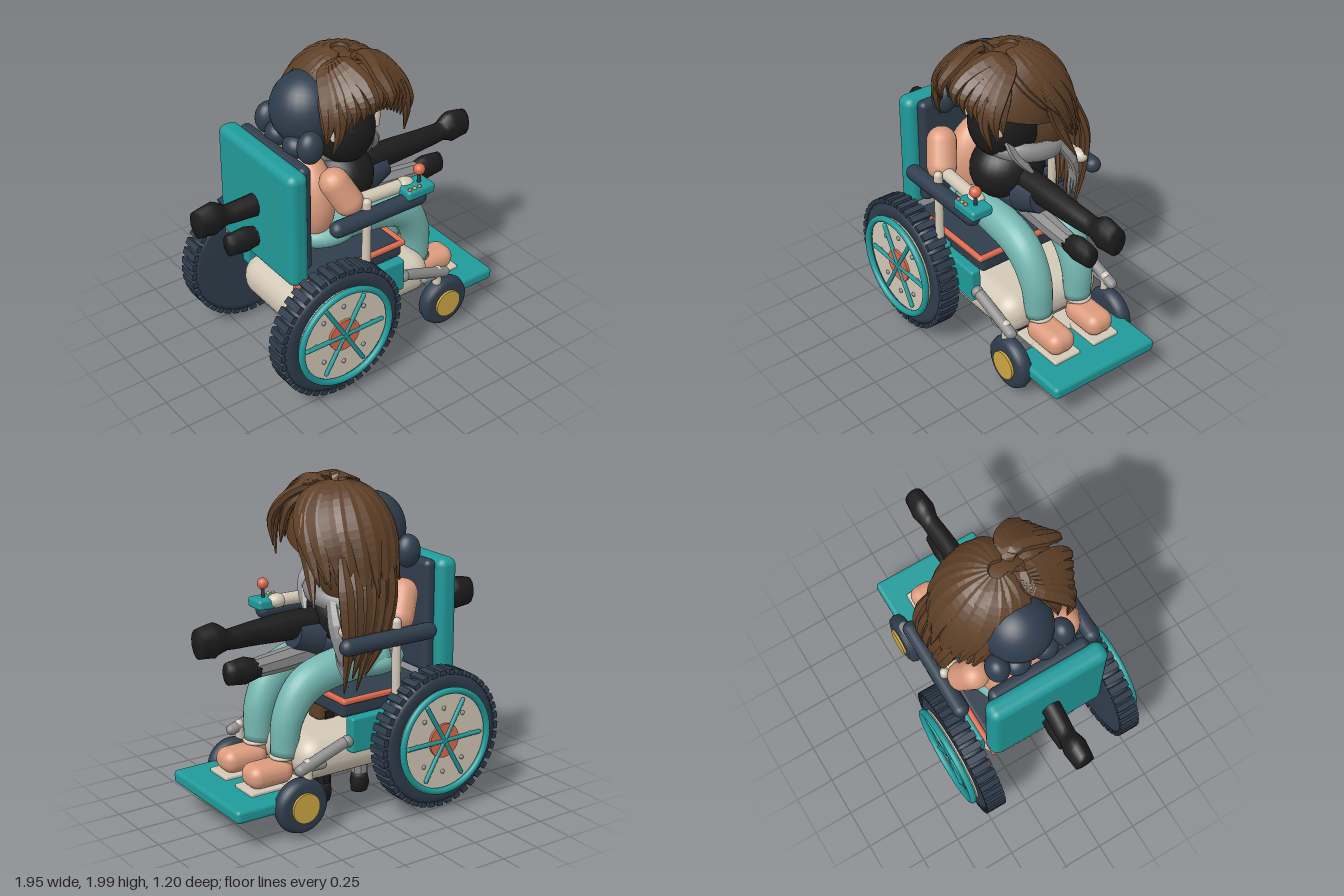
import * as THREE from 'three';
import { RoundedBoxGeometry } from 'three/addons/geometries/RoundedBoxGeometry.js';

const mat = (name, color) => Object.assign(new THREE.MeshStandardMaterial({ color }), { name });
const V = (a) => new THREE.Vector3(...a);

// Closed sweep along a curve; sizes are [half width, half thickness] stations, hint gives the thickness direction
function sweep(points, sizes, hint, sides = 12, steps = 16) {
  const curve = new THREE.CatmullRomCurve3(points.map(V));
  const pos = [], idx = [], n = sizes.length - 1;
  for (let i = -1; i <= steps + 1; i++) {
    const t = Math.min(1, Math.max(0, i / steps));
    const p = curve.getPoint(t), T = curve.getTangent(t);
    const N = hint(p).clone().addScaledVector(T, -hint(p).dot(T)).normalize();
    const B = N.clone().cross(T);
    const k = Math.min(n - 1, Math.floor(t * n)), f = t * n - k;
    const cap = i < 0 || i > steps ? 0.001 : 1;
    const w = THREE.MathUtils.lerp(sizes[k][0], sizes[k + 1][0], f) * cap;
    const h = THREE.MathUtils.lerp(sizes[k][1], sizes[k + 1][1], f) * cap;
    for (let j = 0; j < sides; j++) {
      const a = ((j + 0.5) / sides) * Math.PI * 2;
      const q = p.clone().addScaledVector(B, w * Math.cos(a)).addScaledVector(N, h * Math.sin(a));
      pos.push(q.x, q.y, q.z);
    }
  }
  for (let i = 0; i < steps + 2; i++) for (let j = 0; j < sides; j++) {
    const a = i * sides + j, b = i * sides + (j + 1) % sides;
    idx.push(a, b, b + sides, a, b + sides, a + sides);
  }
  const g = new THREE.BufferGeometry();
  g.setAttribute('position', new THREE.Float32BufferAttribute(pos, 3));
  g.setIndex(idx);
  g.computeVertexNormals();
  return g;
}
const faceted = (g) => { const f = g.toNonIndexed(); f.computeVertexNormals(); return f; };

export function createModel() {
  const teal = mat('teal', 0x209a9a), navy = mat('navy', 0x2f3d4c), beige = mat('beige', 0xd2c8b6),
    coral = mat('coral', 0xdb6a4e), brown = mat('brown', 0x5e4028), black = mat('black', 0x1c1c1d),
    grey = mat('grey', 0x8b8b8c), mint = mat('mint', 0x74b6af), skin = mat('skin', 0xdb9b7d), gold = mat('gold', 0xcfa844);
  const root = new THREE.Group();
  const section = (name) => { const g = new THREE.Group(); g.name = name; root.add(g); return g; };
  const add = (g, name, geo, m, p = [0, 0, 0], r = [0, 0, 0]) => {
    const o = new THREE.Mesh(geo, m);
    o.name = name; o.position.set(...p); o.rotation.set(...r); g.add(o);
    return o;
  };
  // Rounded box from its minimum and maximum corners
  const box = (g, name, m, a, b, r = 0.015) => add(g, name,
    new RoundedBoxGeometry(b[0] - a[0], b[1] - a[1], b[2] - a[2], 4, r), m, a.map((v, i) => (v + b[i]) / 2));
  const ball = (g, name, m, p, r) => {
    const o = add(g, name, new THREE.SphereGeometry(1, 28, 20), m, p);
    o.scale.set(...(Array.isArray(r) ? r : [r, r, r])); return o;
  };
  const rod = (g, name, m, a, b, r) => {
    const d = V(b).sub(V(a)), o = add(g, name, new THREE.CapsuleGeometry(r, d.length(), 6, 16), m);
    o.position.copy(V(a).addScaledVector(d, 0.5));
    o.quaternion.setFromUnitVectors(new THREE.Vector3(0, 1, 0), d.normalize());
    return o;
  };
  const disc = (g, name, m, r, depth, z) => add(g, name, new THREE.CylinderGeometry(r, r, depth, 48), m, [0, 0, z], [Math.PI / 2, 0, 0]);
  const side = () => new THREE.Vector3(0, 0, 1);

  // Chair frame, seat and backrest
  const chair = section('chair');
  box(chair, 'backrest', teal, [-0.59, 0.76, -0.38], [-0.46, 1.5, 0.38], 0.05);
  box(chair, 'backPad', navy, [-0.48, 0.8, -0.32], [-0.4, 1.49, 0.32], 0.035);
  box(chair, 'seatTrimFront', coral, [0.195, 0.738, -0.375], [0.23, 0.775, 0.375]);
  box(chair, 'seatCushion', navy, [-0.45, 0.65, -0.355], [0.222, 0.76, 0.355], 0.03);
  box(chair, 'baseBody', beige, [-0.5, 0.285, -0.36], [0.475, 0.55, 0.36], 0.125);
  box(chair, 'footplate', teal, [0.54, 0.18, -0.375], [0.945, 0.26, 0.375], 0.025);
  box(chair, 'footBracket', beige, [0.4, 0.25, -0.24], [0.56, 0.275, 0.24], 0.01);
  for (const s of [1, -1]) {
    box(chair, 'seatTrimSide', coral, [-0.57, 0.738, s * 0.36 - 0.017], [0.23, 0.775, s * 0.36 + 0.017]);
    box(chair, 'sideBox', teal, [-0.43, 0.45, s * 0.38 - 0.035], [0.195, 0.665, s * 0.38 + 0.035]);
    rod(chair, 'sideRail', teal, [-0.42, 0.69, s * 0.38], [-0.1, 0.69, s * 0.38], 0.025);
    rod(chair, 'armrest', navy, [-0.32, 1.115, s * 0.445], [0.25, 1.115, s * 0.445], 0.05);
    rod(chair, 'armrestPost', beige, [-0.105, 0.68, s * 0.425], [-0.105, 1.2, s * 0.425], 0.027);
    rod(chair, 'casterArm', grey, [0.24, 0.52, s * 0.385], [0.53, 0.42, s * 0.385], 0.034);
    rod(chair, 'casterLink', grey, [0.38, 0.42, s * 0.38], [0.54, 0.42, s * 0.38], 0.026);
    rod(chair, 'casterFork', beige, [0.48, 0.3, s * 0.38], [0.48, 0.45, s * 0.38], 0.028);
    ball(chair, 'armJoint', grey, [0.21, 0.525, s * 0.385], 0.037);
    box(chair, 'footPad', beige, [0.54, 0.25, s * 0.145 - 0.095], [0.77, 0.28, s * 0.145 + 0.095], 0.01);
  }
  box(chair, 'controlBox', teal, [0.14, 1.14, 0.355], [0.335, 1.205, 0.5], 0.02);
  rod(chair, 'joystick', navy, [0.265, 1.2, 0.43], [0.265, 1.27, 0.43], 0.012);
  ball(chair, 'joystickKnob', coral, [0.265, 1.29, 0.43], 0.035);
  for (let i = 0; i < 3; i++) ball(chair, 'button', i % 2 ? gold : coral, [0.165 + i * 0.035, 1.205, 0.475], 0.012);

  // Wheels, outer face towards their own +z
  for (const s of [1, -1]) {
    const w = section('driveWheel');
    w.position.set(-0.36, 0.46, s * 0.48);
    w.rotation.y = s > 0 ? 0 : Math.PI;
    const tyre = [[0.0, -0.06], [0.37, -0.06], [0.405, -0.05], [0.415, 0], [0.405, 0.05], [0.37, 0.065], [0.31, 0.065], [0.3, 0.03], [0, 0.03]];
    add(w, 'tyre', new THREE.LatheGeometry(tyre.map((p) => new THREE.Vector2(...p)), 64), navy, [0, 0, 0], [Math.PI / 2, 0, 0]);
    for (let i = 0; i < 40; i++) {
      const a = (i / 40) * Math.PI * 2;
      add(w, 'tread', new THREE.BoxGeometry(0.03, 0.042, 0.128), navy, [Math.cos(a) * 0.412, Math.sin(a) * 0.412, 0], [0, 0, a]);
    }
    disc(w, 'wheelDisc', beige, 0.31, 0.05, 0.05);
    add(w, 'pushRim', new THREE.TorusGeometry(0.312, 0.02, 12, 64), teal, [0, 0, 0.1]);
    disc(w, 'hub', coral, 0.105, 0.02, 0.08);
    for (let i = 0; i < 3; i++) {
      const a = i * Math.PI / 3, x = Math.cos(a) * 0.265, y = Math.sin(a) * 0.265;
      rod(w, 'spoke', teal, [-x, -y, 0.088], [x, y, 0.088], 0.013);
    }
    for (let i = 0; i < 8; i++) ball(w, 'bolt', grey, [Math.cos(i * Math.PI / 4) * 0.2, Math.sin(i * Math.PI / 4) * 0.2, 0.075], 0.014);

    const c = section('casterWheel');
    c.position.set(0.53, 0.205, s * 0.38);
    c.rotation.y = s > 0 ? 0 : Math.PI;
    const cp = [[0, -0.05], [0.13, -0.05], [0.158, -0.035], [0.169, 0], [0.158, 0.035], [0.13, 0.05], [0, 0.05]];
    add(c, 'casterTyre', new THREE.LatheGeometry(cp.map((p) => new THREE.Vector2(...p)), 40), navy, [0, 0, 0], [Math.PI / 2, 0, 0]);
    disc(c, 'casterHub', gold, 0.09, 0.02, 0.055);
  }

  // Seated rider facing +x
  const rider = section('rider');
  ball(rider, 'torso', skin, [-0.25, 1.1, 0], [0.155, 0.3, 0.25]);
  ball(rider, 'hips', mint, [-0.16, 0.88, 0], [0.25, 0.115, 0.27]);
  ball(rider, 'head', navy, [-0.215, 1.655, -0.01], [0.212, 0.225, 0.21]);
  for (const s of [1, -1]) {
    ball(rider, 'hairBun', navy, [-0.34, 1.54, s * 0.21], [0.08, 0.1, 0.07]);
    ball(rider, 'napeHair', navy, [-0.36, 1.5, s * 0.09], [0.07, 0.07, 0.08]);
    rod(rider, 'upperArm', skin, [-0.24, 1.32, s * 0.3], [-0.18, 1.2, s * 0.345], 0.09);
    rod(rider, 'forearm', beige, [-0.1, 1.185, s * 0.36], [0.15, 1.185, s * 0.375], 0.04);
    ball(rider, 'hand', beige, [0.2, 1.185, s * 0.38], [0.06, 0.045, 0.05]);
    add(rider, 'trouserLeg', sweep([[-0.2, 0.9, s * 0.15], [0.08, 0.905, s * 0.155], [0.35, 0.83, s * 0.157], [0.465, 0.66, s * 0.152], [0.495, 0.43, s * 0.147]],
      [[0.105, 0.1], [0.115, 0.103], [0.113, 0.103], [0.095, 0.096], [0.077, 0.082]], side, 24, 24), mint);
    rod(rider, 'ankle', skin, [0.5, 0.36, s * 0.145], [0.5, 0.43, s * 0.145], 0.065);
    add(rider, 'cuff', new THREE.TorusGeometry(0.068, 0.014, 10, 24), beige, [0.5, 0.428, s * 0.147], [Math.PI / 2, 0, 0]);
    box(rider, 'foot', skin, [0.46, 0.272, s * 0.145 - 0.092], [0.752, 0.415, s * 0.145 + 0.092], 0.066);
  }

  // Standing figure facing +z with outstretched arms
  const figure = section('figure');
  ball(figure, 'face', black, [0, 1.5, 0.01], [0.2, 0.25, 0.24]);
  ball(figure, 'chest', black, [0, 1.17, 0], [0.2, 0.2, 0.24]);
  ball(figure, 'waist', navy, [0.02, 1.02, 0], [0.24, 0.11, 0.13]);
  for (const s of [1, -1]) {
    add(figure, 'arm', sweep([[s * 0.15, 1.15, 0], [s * 0.4, 1.15, 0], [s * 0.6, 1.148, 0], [s * 0.78, 1.145, -0.01], [s * 0.86, 1.155, -0.01], [s * 0.97, 1.15, -0.01]],
      [[0.09, 0.075], [0.085, 0.07], [0.073, 0.06], [0.06, 0.055], [0.105, 0.072], [0.088, 0.06]], side, 12, 20), black);
    add(figure, 'jacketSide', new THREE.CylinderGeometry(0.09, 0.12, 0.16, 16), navy, [s * 0.25, 1.08, 0], [0, 0, -s * (Math.PI / 2 - 0.25)]);
    add(figure, 'lowerSleeve', faceted(sweep([[s * 0.1, 0.98, 0], [s * 0.4, 0.95, 0], [s * 0.6, 0.935, 0]],
      [[0.08, 0.06], [0.07, 0.06], [0.06, 0.05]], side, 8, 6)), grey);
    add(figure, 'lowerHand', sweep([[s * 0.57, 0.93, 0], [s * 0.66, 0.935, 0], [s * 0.775, 0.935, 0]],
      [[0.055, 0.05], [0.083, 0.058], [0.068, 0.05]], side, 12, 6), black);
    box(figure, 'shorts', brown, [s * 0.105 - 0.095, 0.54, -0.075], [s * 0.105 + 0.095, 0.68, 0.055], 0.03);
    add(figure, 'legging', faceted(sweep([[s * 0.12, 0.6, -0.01], [s * 0.13, 0.35, -0.01], [s * 0.14, 0.08, -0.02]],
      [[0.08, 0.075], [0.068, 0.065], [0.05, 0.047]], side, 8, 6)), s > 0 ? black : grey);
    add(figure, 'boot', sweep([[s * 0.135, 0.13, -0.02], [s * 0.14, 0.06, -0.015], [s * 0.14, 0.005, -0.01]],
      [[0.05, 0.05], [0.062, 0.06], [0.055, 0.045]], side, 12, 6), black);
    rod(figure, 'eyeFrame', beige, [s * 0.148, 1.51, 0.17], [s * 0.148, 1.6, 0.18], 0.021);
    rod(figure, 'browFrame', beige, [s * 0.115, 1.645, 0.2], [s * 0.19, 1.64, 0.17], 0.024);
  }
  // Grey shin guard on the front of the dark leg
  add(figure, 'shinGuard', new RoundedBoxGeometry(0.09, 0.26, 0.009, 2, 0.004), grey, [0.135, 0.225, 0.045], [0.07, 0, 0]);

  // Scarf with hanging tails
  const scarf = add(figure, 'scarf', new THREE.TorusGeometry(0.2, 0.055, 8, 32), grey, [0.03, 1.33, -0.09], [Math.PI / 2 - 0.15, 0, 0]);
  scarf.scale.set(0.92, 1.05, 1.1);
  const tail = (pts) => add(figure, 'scarfTail', faceted(sweep(pts,
    [[0.03, 0.015], [0.045, 0.02], [0.035, 0.015], [0.004, 0.004]], () => new THREE.Vector3(0.8, 0, -0.6), 6, 10)), grey);
  for (let i = 0; i < 3; i++) tail([[0.14 + i * 0.03, 1.36, -0.2], [0.2 + i * 0.02, 1.18, -0.31], [0.2, 0.98, -0.31 - i * 0.02], [0.17, 0.83 + i * 0.06, -0.33]]);
  tail([[0.13, 1.46, 0.12], [0.18, 1.38, 0.1], [0.22, 1.3, 0.05], [0.25, 1.2, -0.02]]);

  // Hair: scalp cap tilted backwards, then overlapping strands
  const hair = section('hair');
  const centre = new THREE.Vector3(0.01, 1.6, 0);
  const out = (p) => p.clone().sub(centre).setY(Math.max(0, p.y - centre.y));
  const lock = (name, pts, w, th = 0.028) => add(hair, name,
    faceted(sweep(pts, [[w * 0.45, th * 0.6], [w, th], [w * 0.95, th], [w * 0.6, th * 0.8], [0.004, 0.004]], out, 6, 16)), brown);
  const cap = add(hair, 'scalp', new THREE.SphereGeometry(1, 32, 16, 0, Math.PI * 2, 0, Math.PI * 0.53), brown, [0.01, 1.62, 0.01], [-0.33, 0, 0]);
  cap.scale.set(0.285, 0.34, 0.32);
  ball(hair, 'backHair', brown, [0.02, 1.54, -0.19], [0.25, 0.3, 0.17]);
  for (let layer = 0; layer < 2; layer++) for (let i = 0; i < 13; i++) {
    const a = (i - 6 + layer * 0.5) / 6 * 1.95;
    const long = 1.47 + 0.5 * Math.cos(a / 1.3) + (i % 3) * 0.1;
    const pts = [];
    for (let k = 0; k <= 6; k++) {
      const t = k / 6, phi = a * (1 - 0.28 * t), th = Math.min(0.15 + t * long, 1.5), r = 1 - layer * 0.05;
      const drop = Math.max(0, 0.15 + t * long - 1.5) * 0.42;
      pts.push([centre.x + Math.sin(phi) * 0.3 * r * Math.sin(th) + 0.015 * t, centre.y + 0.362 * r * Math.cos(th) - drop,
        -Math.cos(phi) * 0.318 * r * Math.sin(th) - 0.115 * t * t]);
    }
    lock('sideLock', pts, 0.078, 0.03);
  }
  for (const s of [1, -1]) {
    // Swept fringe rising in two lobes and curling forward, with a shorter layer behind it
    for (let k = 0; k < 6; k++) {
      lock('fringeLock', [[s * 0.02, 1.9, 0.05], [s * (0.08 + 0.018 * k), 1.962 - 0.008 * k, 0.13],
        [s * (0.06 + 0.038 * k), 1.91 - 0.02 * k, 0.32 - 0.012 * k], [s * (0.06 + 0.044 * k), 1.83 - 0.025 * k, 0.415 - 0.022 * k],
        [s * (0.06 + 0.044 * k), 1.74 - 0.036 * k, 0.41 - 0.026 * k]], 0.06, 0.03);
      lock('underFringe', [[s * 0.02, 1.9, 0.1], [s * (0.05 + 0.03 * k), 1.89 - 0.012 * k, 0.24 - 0.01 * k],
        [s * (0.05 + 0.038 * k), 1.8 - 0.02 * k, 0.33 - 0.02 * k], [s * (0.05 + 0.042 * k), 1.71 - 0.025 * k, 0.33 - 0.02 * k]], 0.06);
    }
    lock('faceLock', [[s * 0.16, 1.88, 0.2], [s * 0.22, 1.79, 0.31], [s * 0.23, 1.68, 0.34], [s * 0.25, 1.5, 0.3]], 0.045);
  }
  lock('flyawayLock', [[0.2, 1.88, 0], [0.29, 1.76, -0.06], [0.3, 1.52, -0.14], [0.34, 1.3, -0.24]], 0.06);
  // Long tails gathering down the back
  for (let i = 0; i < 6; i++) {
    const x = -0.12 + i * 0.065;
    lock('longTail', [[x, 1.6, -0.32], [x * 0.95 + 0.03, 1.36, -0.4], [x * 0.7 + 0.07, 1.1, -0.4], [x * 0.45 + 0.11, 0.8 + ((i + 1) % 3) * 0.08, -0.34]], 0.05);
  }
  return root;
}
